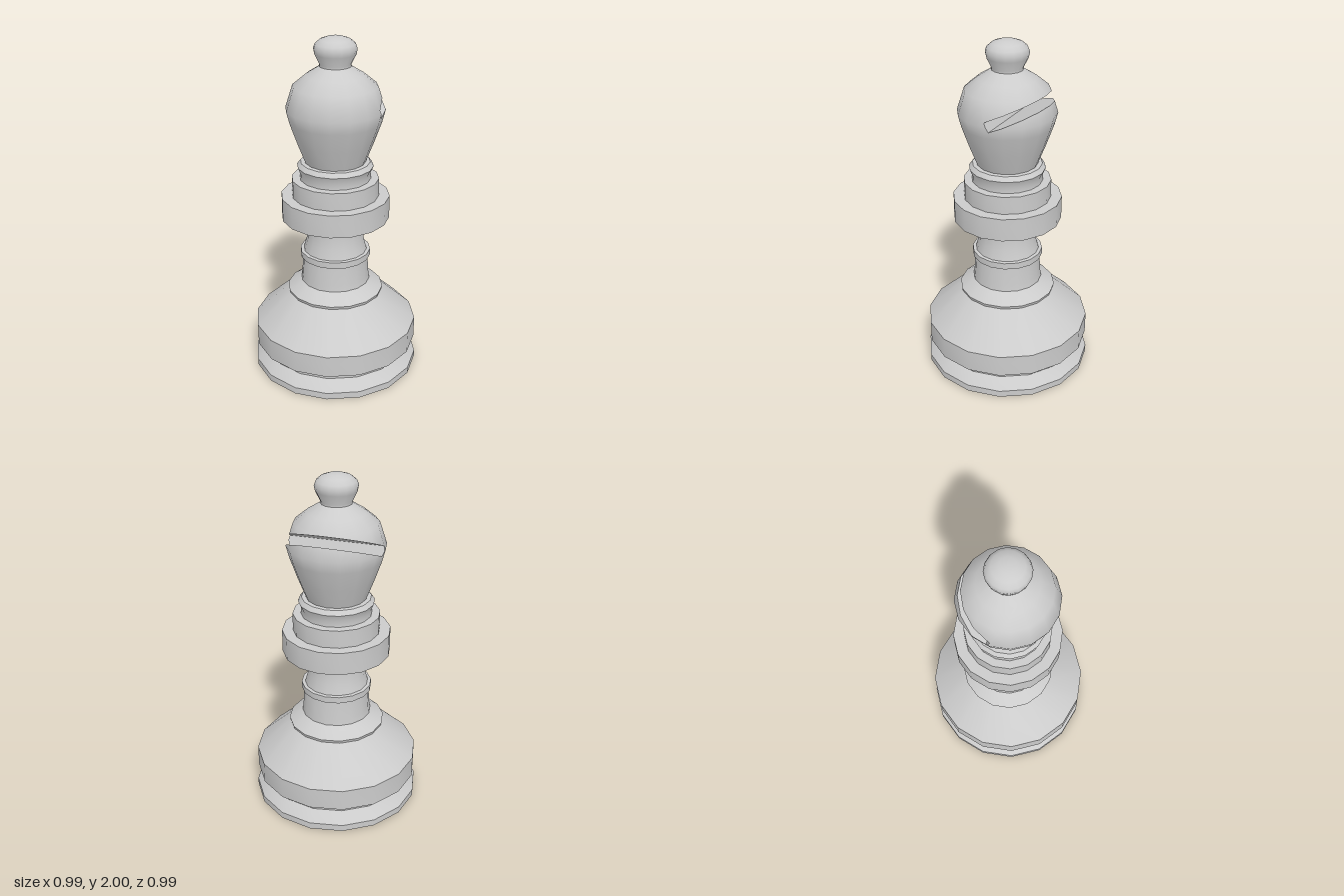
import * as THREE from 'three';
import { toCreasedNormals } from 'three/addons/utils/BufferGeometryUtils.js';

const SIDES = 16;
const material = new THREE.MeshStandardMaterial({ color: 0xcccccc });

// Turned part from [radius, height] pairs, bottom to top, with sharp edges kept
function turned(profile, crease = 0.6) {
  const points = profile.map(([r, y]) => new THREE.Vector2(r, y));
  return toCreasedNormals(new THREE.LatheGeometry(points, SIDES), crease);
}

// Half of a polygon lying on the positive side of a plane; vertices are { p, n }
function clip(poly, plane) {
  const out = [];
  poly.forEach((a, i) => {
    const b = poly[(i + 1) % poly.length];
    const da = plane.distanceToPoint(a.p), db = plane.distanceToPoint(b.p);
    if (da >= 0) out.push(a);
    if ((da >= 0) !== (db >= 0)) {
      const t = da / (da - db);
      out.push({ p: a.p.clone().lerp(b.p, t), n: a.n.clone().lerp(b.n, t).normalize() });
    }
  });
  return out;
}

// Cuts a slanted slot, open to the outside, into a convex turned body
function cutSlot(geometry, corner, out, thickness) {
  const along = new THREE.Vector3(0, 1, 0).cross(out).normalize();
  const up = out.clone().cross(along).normalize();
  const ceilingPoint = corner.clone().addScaledVector(up, thickness);
  const plane = (n, p) => new THREE.Plane().setFromNormalAndCoplanarPoint(n, p);
  const slot = [plane(out, corner), plane(up, corner), plane(up.clone().negate(), ceilingPoint)];
  const pos = geometry.attributes.position, nor = geometry.attributes.normal;
  const polys = [], shell = [];

  // Outer skin: keep whatever lies outside the slot
  for (let i = 0; i < pos.count; i += 3) {
    let rest = [0, 1, 2].map(k => ({
      p: new THREE.Vector3().fromBufferAttribute(pos, i + k),
      n: new THREE.Vector3().fromBufferAttribute(nor, i + k),
    }));
    shell.push(new THREE.Plane().setFromCoplanarPoints(...rest.map(v => v.p)).negate());
    for (const side of slot) {
      polys.push(clip(rest, side.clone().negate()));
      rest = clip(rest, side);
    }
  }

  // Floor, ceiling and inner wall of the slot, trimmed to the body
  const face = (n, corners) => {
    let poly = corners.map(([a, o, u]) => ({
      p: corner.clone().addScaledVector(along, a).addScaledVector(out, o).addScaledVector(up, u), n,
    }));
    for (const side of shell) poly = clip(poly, side);
    polys.push(poly);
  };
  const t = thickness;
  face(up, [[-1, 0, 0], [-1, 1, 0], [1, 1, 0], [1, 0, 0]]);
  face(up.clone().negate(), [[-1, 0, t], [1, 0, t], [1, 1, t], [-1, 1, t]]);
  face(out, [[-1, 0, 0], [1, 0, 0], [1, 0, t], [-1, 0, t]]);

  const p = [], n = [];
  for (const poly of polys) {
    for (let i = 2; i < poly.length; i++) {
      for (const v of [poly[0], poly[i - 1], poly[i]]) {
        p.push(...v.p.toArray());
        n.push(...v.n.toArray());
      }
    }
  }
  const result = new THREE.BufferGeometry();
  result.setAttribute('position', new THREE.Float32BufferAttribute(p, 3));
  result.setAttribute('normal', new THREE.Float32BufferAttribute(n, 3));
  return result;
}

export function createModel() {
  const group = new THREE.Group();
  const add = (name, geometry) => {
    const mesh = new THREE.Mesh(geometry, material);
    mesh.name = name;
    group.add(mesh);
  };

  // Foot with a groove, and the sloping plinth above it
  add('base', turned([
    [0, 0], [0.496, 0], [0.496, 0.04], [0.435, 0.1], [0.435, 0.135], [0.487, 0.15],
    [0.487, 0.28], [0.28, 0.472], [0.285, 0.49], [0.205, 0.545],
  ]));

  // Waisted stem with its ring
  add('stem', turned([[0.205, 0.545], [0.2, 0.58], [0.192, 0.7]]));
  add('stemRing', turned([[0.19, 0.7], [0.207, 0.7], [0.207, 0.738], [0.185, 0.74]]));
  add('neck', turned([[0.187, 0.74], [0.17, 0.8], [0.162, 0.87], [0.16, 0.95]]));

  // Stepped collar
  add('collar', turned([
    [0.15, 0.95], [0.315, 0.95], [0.315, 1.085], [0.252, 1.085], [0.252, 1.19], [0.205, 1.19],
    [0.203, 1.225], [0.22, 1.265], [0.2, 1.29], [0.16, 1.292],
  ]));

  // Head with a slanted slot at the back
  const head = turned([
    [0.172, 1.285], [0.22, 1.41], [0.262, 1.53], [0.28, 1.6], [0.238, 1.73], [0.165, 1.79], [0.088, 1.838],
  ], 0.7);
  const tilt = 0.42, turn = 0.4, inset = 0.026;
  const facing = new THREE.Vector3(-Math.sin(turn), 0, -Math.cos(turn));
  const corner = facing.clone().multiplyScalar(inset).setY(1.57);
  const out = facing.clone().multiplyScalar(Math.cos(tilt)).setY(Math.sin(tilt));
  add('head', cutSlot(head, corner, out, 0.058));

  // Knob on top
  add('knob', turned([
    [0.088, 1.838], [0.088, 1.85], [0.115, 1.905], [0.121, 1.935], [0.112, 1.96], [0.085, 1.983], [0.045, 1.997], [0, 2],
  ], 0.7));

  return group;
}
